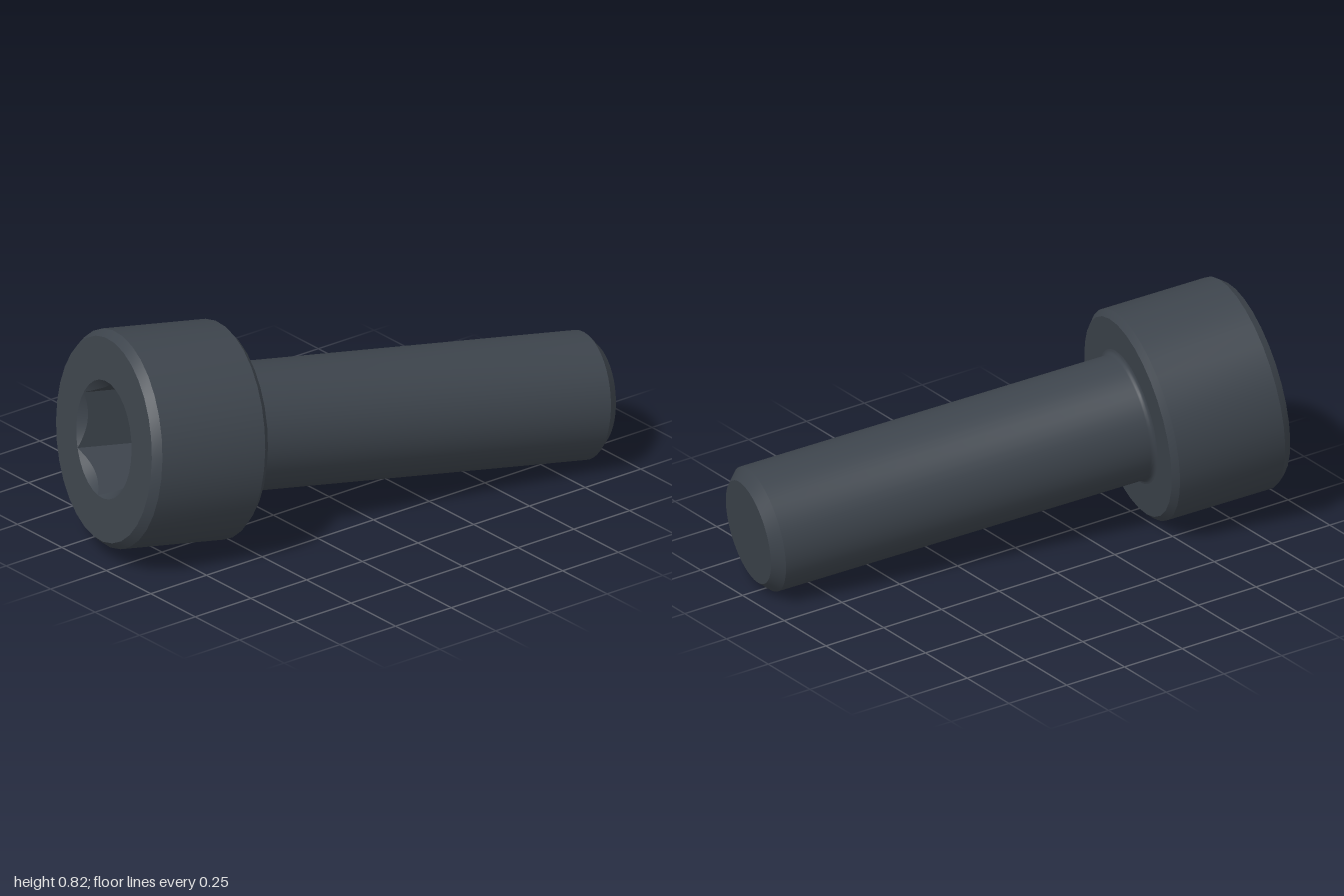
import * as THREE from 'three';
import { toCreasedNormals } from 'three/addons/utils/BufferGeometryUtils.js';

const LENGTH = 1.924, HEAD_Y = 1.466;          // tip at y = 0, head from HEAD_Y to LENGTH
const SHANK_R = 0.229, HEAD_R = 0.389;
const SOCKET_FLAT = 0.183, SOCKET_R = SOCKET_FLAT / Math.cos(Math.PI / 6);
const SOCKET_FLOOR = LENGTH - 0.23;

const steel = new THREE.MeshStandardMaterial({ color: 0x3d444c });
steel.name = 'darkSteel';

function lathe(points, segments) {
  return new THREE.LatheGeometry(points.map(([r, y]) => new THREE.Vector2(r, y)), segments);
}

function part(name, geometry) {
  const mesh = new THREE.Mesh(toCreasedNormals(geometry, 0.45), steel);
  mesh.name = name;
  return mesh;
}

// Chamfered shank, flaring into the head through a small fillet
function shank() {
  const f = 0.018;
  const profile = [[0, 0], [0.19, 0], [SHANK_R, 0.04]];
  for (let i = 0; i <= 5; i++) {
    const a = (i / 5) * Math.PI / 2;
    profile.push([SHANK_R + f * (1 - Math.cos(a)), HEAD_Y - f + f * Math.sin(a)]);
  }
  return part('shank', lathe(profile, 48));
}

// Cylindrical head with chamfered rims and an open centre
function head() {
  return part('head', lathe([
    [SHANK_R, HEAD_Y], [0.367, HEAD_Y], [HEAD_R, HEAD_Y + 0.022],
    [HEAD_R, LENGTH - 0.03], [0.366, LENGTH], [SOCKET_R, LENGTH],
  ], 32 * 1));
}

// Hexagonal socket: a round countersunk mouth whose inner rings become a hexagon
function socket() {
  const geometry = lathe([
    [SOCKET_R, LENGTH], [SOCKET_FLAT, LENGTH - 0.02],
    [SOCKET_FLAT, SOCKET_FLOOR], [0, SOCKET_FLOOR],
  ], 96);
  const pos = geometry.attributes.position;
  const sector = Math.PI / 3;
  for (let i = 0; i < pos.count; i++) {
    const ring = i % 4;
    if (ring !== 1 && ring !== 2) continue;
    const angle = Math.floor(i / 4) / 96 * Math.PI * 2;
    const r = SOCKET_FLAT / Math.cos((angle % sector) - sector / 2);
    const y = ring === 1 ? LENGTH - (SOCKET_R - r) : SOCKET_FLOOR;
    pos.setXYZ(i, r * Math.sin(angle), y, r * Math.cos(angle));
  }
  return part('hexSocket', geometry);
}

export function createModel() {
  const screw = new THREE.Group();
  screw.name = 'socketScrew';
  screw.add(shank(), head(), socket());

  // Lay the screw down, tip towards the left front
  const up = new THREE.Vector3(-0.972, 0.112, -0.206).normalize();
  const side = new THREE.Vector3(-0.206, 0, 0.972).normalize();
  const across = new THREE.Vector3().crossVectors(side, up);
  screw.quaternion.setFromRotationMatrix(new THREE.Matrix4().makeBasis(side, up, across));
  screw.position.set(0.955, 0.224, 0.277);

  const model = new THREE.Group();
  model.name = 'model';
  model.add(screw);
  return model;
}
